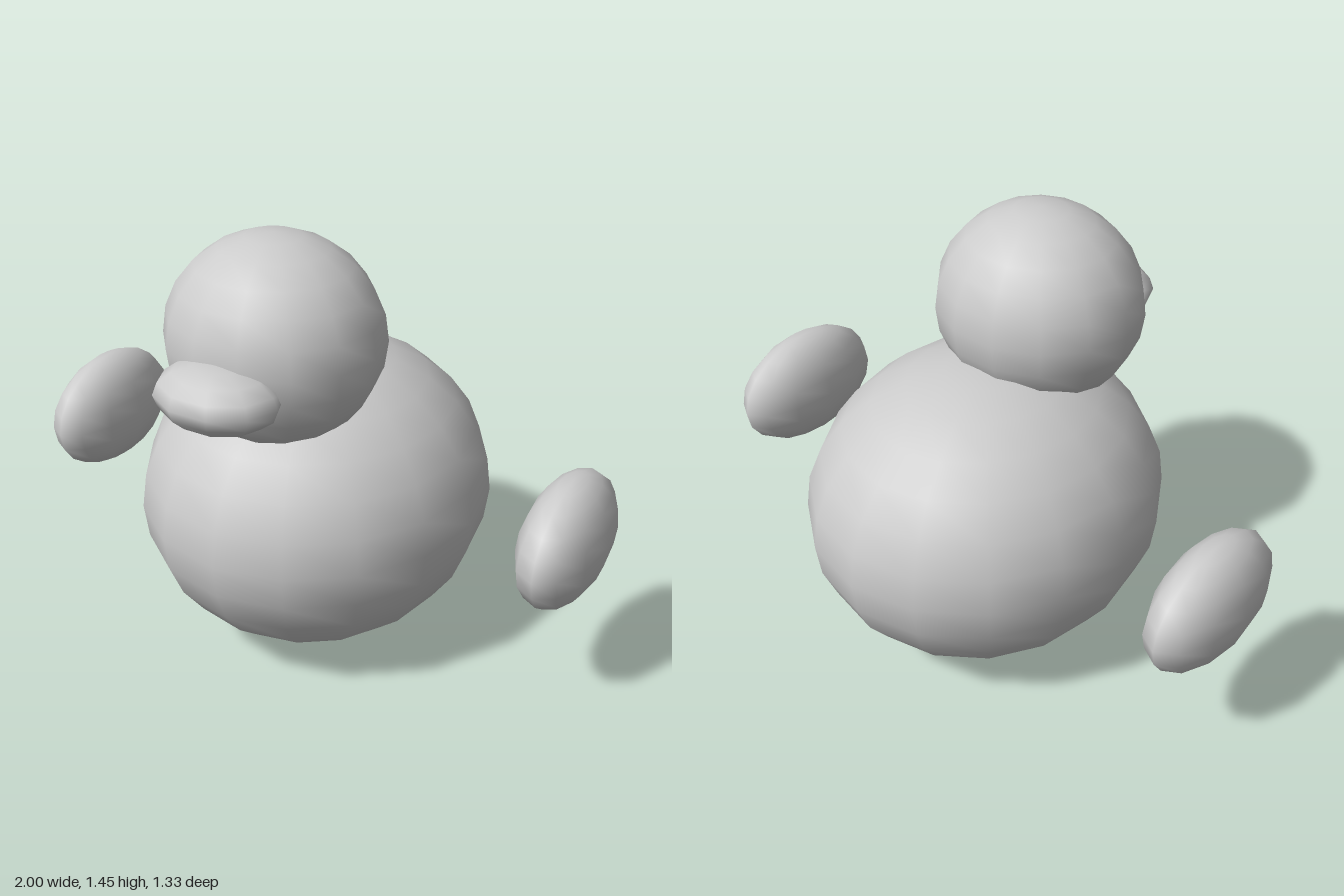
import * as THREE from 'three';

export function createModel() {
  const group = new THREE.Group();
  const material = new THREE.MeshStandardMaterial({ color: 0xcccccc });

  // Smooth ellipsoid from a centre, three radii and its segment counts
  function ellipsoid(name, [x, y, z], [rx, ry, rz], around, down) {
    const geometry = new THREE.SphereGeometry(1, around, down);
    geometry.scale(rx, ry, rz);
    const mesh = new THREE.Mesh(geometry, material);
    mesh.name = name;
    mesh.position.set(x, y, z);
    group.add(mesh);
  }

  // Plump body, longer than it is wide
  ellipsoid('body', [0, 0.507, -0.045], [0.56, 0.503, 0.62], 16, 14);

  // Round head set forward on the body
  ellipsoid('head', [0, 1.125, 0.21], [0.342, 0.325, 0.326], 14, 12);

  // Wide flat bill
  ellipsoid('bill', [0, 1.055, 0.512], [0.2, 0.1, 0.16], 10, 8);

  // Wings floating clear of the body on both sides
  for (const [name, side] of [['leftWing', 1], ['rightWing', -1]]) {
    ellipsoid(name, [side * 0.873, 0.56, -0.048], [0.127, 0.199, 0.285], 12, 10);
  }

  return group;
}
